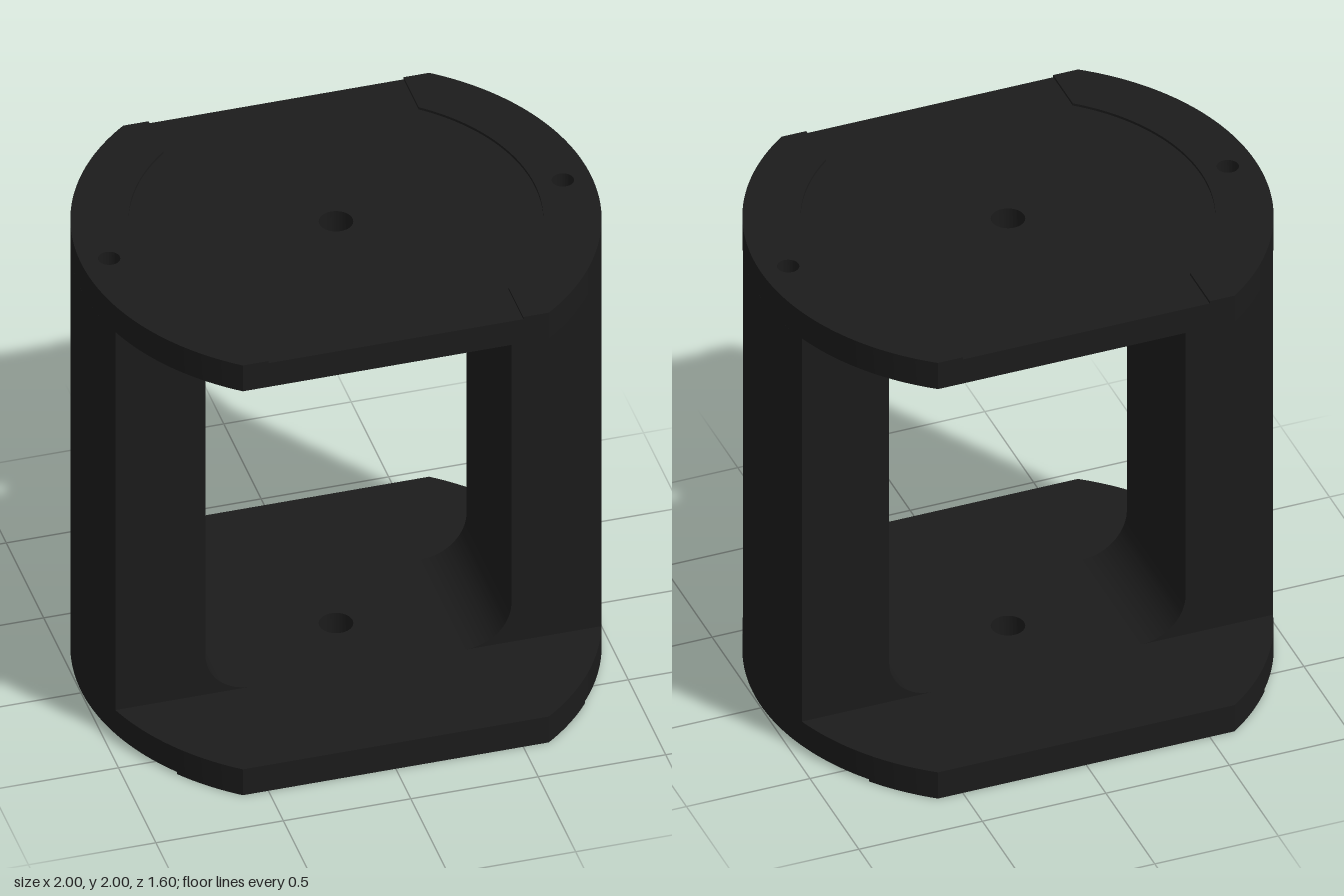
import * as THREE from 'three';
import { toCreasedNormals } from 'three/addons/utils/BufferGeometryUtils.js';

const material = new THREE.MeshStandardMaterial({ color: 0x1b1b1b });
const R = 1, HALF_DEPTH = 0.8, STEP = 0.01, PLATE = 0.12, TOP = 2;
const PIN_X = 0.89, PIN_R = 0.042, BORE_R = 0.065;

// Extrude a plan outline upwards from y0 to y1
function slab(name, shape, y0, y1) {
  const geo = new THREE.ExtrudeGeometry(shape, { depth: y1 - y0, bevelEnabled: false, curveSegments: 40 });
  geo.rotateX(-Math.PI / 2);
  geo.translate(0, y0, 0);
  const mesh = new THREE.Mesh(toCreasedNormals(geo, 0.5), material);
  mesh.name = name;
  return mesh;
}

const hole = (x, r) => new THREE.Path().absarc(x, 0, r, 0, Math.PI * 2, true);

// Disc with its front and back cut flat
function plateShape(holes) {
  const a = Math.asin(HALF_DEPTH / R);
  const s = new THREE.Shape();
  s.absarc(0, 0, R, -a, a, false);
  s.absarc(0, 0, R, Math.PI - a, Math.PI + a, false);
  s.closePath();
  s.holes.push(...holes);
  return s;
}

// Raised rim on one side of the top plate
function rimShape() {
  const a = Math.asin(HALF_DEPTH / R), b = Math.atan2(0.6, 0.5);
  const s = new THREE.Shape();
  s.absarc(0, 0, R, -a, a, false);
  s.lineTo(0.5, HALF_DEPTH);
  s.absarc(0, 0, Math.hypot(0.5, 0.6), b, -b, true);
  s.lineTo(0.5, -HALF_DEPTH);
  s.closePath();
  s.holes.push(hole(PIN_X, PIN_R));
  return s;
}

// Foot strip along the flat edge of the bottom plate
function footShape() {
  const a = Math.asin(0.6), b = Math.asin(HALF_DEPTH);
  const s = new THREE.Shape();
  s.absarc(0, 0, R, a, b, false);
  s.absarc(0, 0, R, Math.PI - b, Math.PI - a, false);
  s.closePath();
  return s;
}

// Column plan: flat inside and sides, round outside
function columnShape() {
  const a = Math.asin(0.3);
  const s = new THREE.Shape();
  s.absarc(0, 0, R, -a, a, false);
  s.lineTo(0.6, 0.3);
  s.lineTo(0.6, -0.3);
  s.closePath();
  return s;
}

// Concave fillet between a column and the bottom plate
function filletGeometry() {
  const r = 0.18;
  const s = new THREE.Shape();
  s.moveTo(0.6, PLATE);
  s.lineTo(0.6, PLATE + r);
  s.absarc(0.6 - r, PLATE + r, r, 0, -Math.PI / 2, true);
  s.closePath();
  const geo = new THREE.ExtrudeGeometry(s, { depth: 0.6, bevelEnabled: false, curveSegments: 16 });
  geo.translate(0, 0, -0.3);
  return toCreasedNormals(geo, 0.5);
}

export function createModel() {
  const model = new THREE.Group();
  model.name = 'columnFrame';

  model.add(slab('bottomPlate', plateShape([hole(0, BORE_R)]), STEP, PLATE));
  model.add(slab('topPlate',
    plateShape([hole(0, BORE_R), hole(PIN_X, PIN_R), hole(-PIN_X, PIN_R)]), TOP - PLATE, TOP - STEP));

  const fillet = filletGeometry();
  const tip = new THREE.LatheGeometry(
    [new THREE.Vector2(0, TOP - PLATE + 0.005), new THREE.Vector2(PIN_R, TOP - PLATE + 0.035)], 32);
  const tipMaterial = material.clone();
  tipMaterial.side = THREE.DoubleSide;

  // Each half is the other turned about the vertical axis
  for (const side of ['left', 'right']) {
    const half = new THREE.Group();
    half.name = side + 'Half';
    half.add(slab('column', columnShape(), PLATE, TOP - PLATE));
    half.add(slab('topRim', rimShape(), TOP - STEP, TOP));
    half.add(slab('foot', footShape(), 0, STEP));

    const lower = new THREE.Mesh(fillet, material);
    lower.name = 'lowerFillet';
    const upper = new THREE.Mesh(fillet.clone().rotateX(Math.PI).translate(0, TOP, 0), material);
    upper.name = 'upperFillet';

    const pinTip = new THREE.Mesh(tip, tipMaterial);
    pinTip.name = 'pinHoleTip';
    pinTip.position.x = PIN_X;
    half.add(lower, upper, pinTip);

    if (side === 'right') half.rotation.y = Math.PI;
    model.add(half);
  }
  return model;
}
